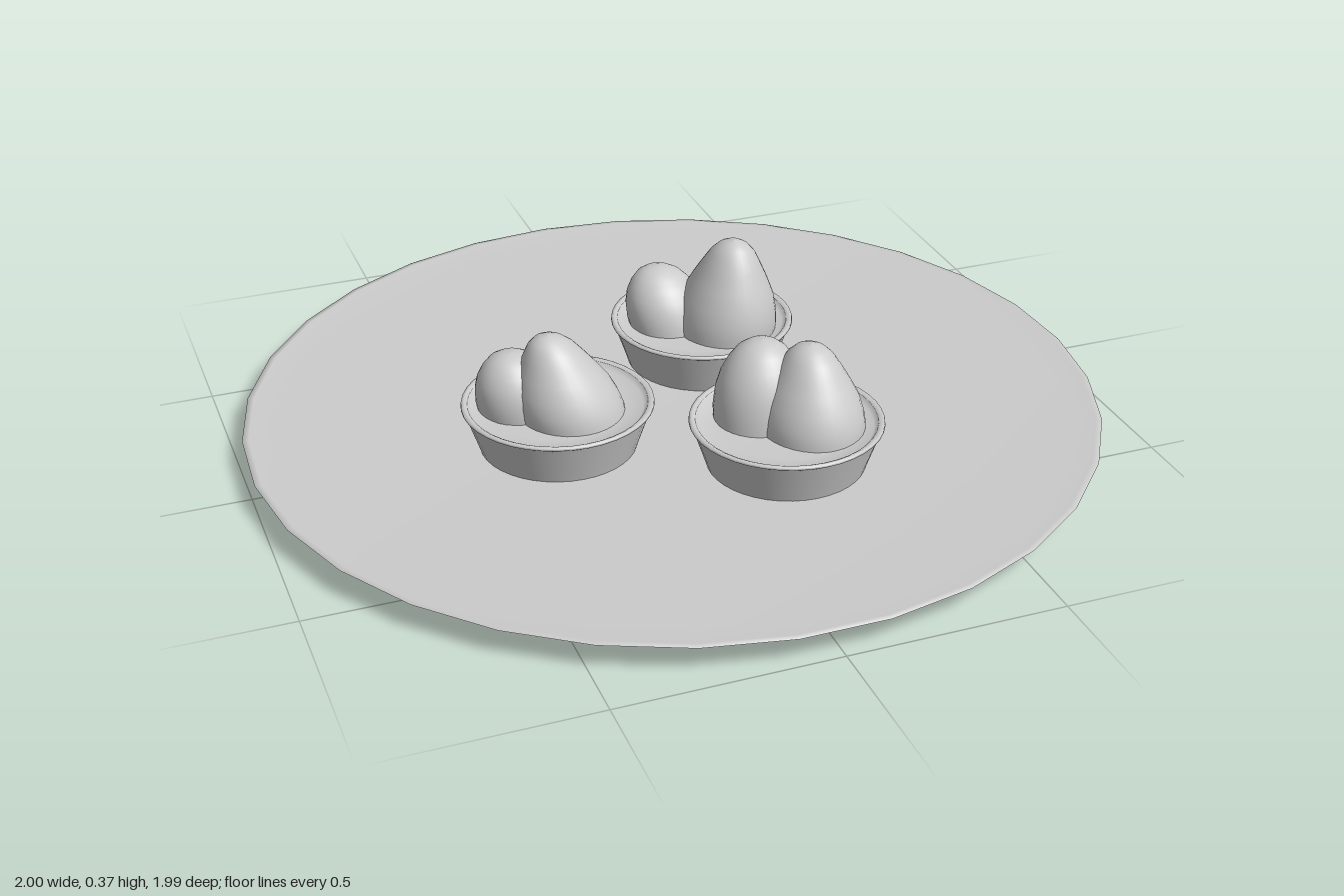
import * as THREE from 'three';

const grey = new THREE.MeshStandardMaterial({ color: 0xcccccc });

// Surface of revolution from [radius, height] pairs, smooth within each profile
function lathe(name, profile, segments) {
  const points = profile.map(([r, y]) => new THREE.Vector2(r, y));
  const mesh = new THREE.Mesh(new THREE.LatheGeometry(points, segments), grey);
  mesh.name = name;
  return mesh;
}

// Wide shallow plate, slightly dished
function makePlate() {
  const plate = lathe('plate', [
    [0, 0.002], [0.14, 0.002], [0.4, 0.007], [0.52, 0.015], [0.75, 0.038],
    [0.99, 0.062], [1, 0.065], [0.985, 0.066], [0.93, 0.06], [0.5, 0.053], [0, 0.05],
  ], 31);
  plate.rotation.y = Math.PI; // odd side count: one corner points to the back
  return plate;
}

// Flared cup: wall, lip and recessed floor as separate profiles for crisp edges
function makeCup() {
  const cup = new THREE.Group();
  cup.name = 'cup';
  cup.add(
    lathe('cupBase', [[0, 0.045], [0.178, 0.045]], 40),
    lathe('cupWall', [[0.178, 0.045], [0.186, 0.07], [0.213, 0.15]], 40),
    lathe('cupLip', [[0.213, 0.15], [0.22, 0.155], [0.219, 0.16], [0.212, 0.162], [0.205, 0.158]], 40),
    lathe('cupFloor', [[0.205, 0.158], [0.195, 0.147], [0.15, 0.142], [0, 0.14]], 40),
  );
  return cup;
}

// Soft bell-shaped scoop whose tip leans sideways by (leanX, leanZ)
const BELL = [[1, 0], [1, 0.12], [0.97, 0.24], [0.89, 0.4], [0.74, 0.57],
  [0.58, 0.73], [0.44, 0.86], [0.3, 0.94], [0.15, 0.985], [0, 1]];
const DOME = [[0.97, 0], [1, 0.2], [0.97, 0.42], [0.88, 0.6], [0.74, 0.75],
  [0.56, 0.88], [0.36, 0.955], [0.18, 0.99], [0, 1]];

function makeScoop(name, shape, { x, z, rx, rz, top, leanX = 0, leanZ = 0 }) {
  const base = 0.13, h = top - base;
  const scoop = lathe(name, shape, 32);
  scoop.geometry.applyMatrix4(new THREE.Matrix4().set(
    rx, leanX, 0, 0,
    0, h, 0, 0,
    0, leanZ, rz, 0,
    0, 0, 0, 1));
  scoop.position.set(x, base, z);
  return scoop;
}

// Each serving: cup position, large scoop and small scoop (relative to the cup)
const SERVINGS = [
  { x: -0.305, z: 0.075,
    large: { x: 0.028, z: 0.015, rx: 0.123, rz: 0.13, top: 0.335, leanX: -0.05, leanZ: -0.005 },
    small: { x: -0.08, z: -0.04, rx: 0.095, rz: 0.095, top: 0.28, leanX: -0.015 } },
  { x: 0.15, z: -0.2,
    large: { x: 0.05, z: 0.02, rx: 0.122, rz: 0.138, top: 0.375, leanX: 0.012, leanZ: 0.03 },
    small: { x: -0.07, z: -0.035, rx: 0.098, rz: 0.096, top: 0.28, leanX: -0.02, leanZ: -0.03 } },
  { x: 0.15, z: 0.33,
    large: { x: 0.055, z: 0.008, rx: 0.12, rz: 0.137, top: 0.338, leanX: -0.003, leanZ: -0.005 },
    small: { x: -0.045, z: -0.062, rx: 0.103, rz: 0.103, top: 0.325, leanX: 0.015, leanZ: -0.015 } },
];

export function createModel() {
  const model = new THREE.Group();
  model.name = 'servingPlate';
  model.add(makePlate());

  for (const { x, z, large, small } of SERVINGS) {
    const serving = new THREE.Group();
    serving.name = 'serving';
    serving.position.set(x, 0, z);
    serving.add(makeCup(), makeScoop('largeScoop', BELL, large), makeScoop('smallScoop', DOME, small));
    model.add(serving);
  }

  // Scoop profiles run downward-facing order is already outward (base to tip)
  return model;
}
